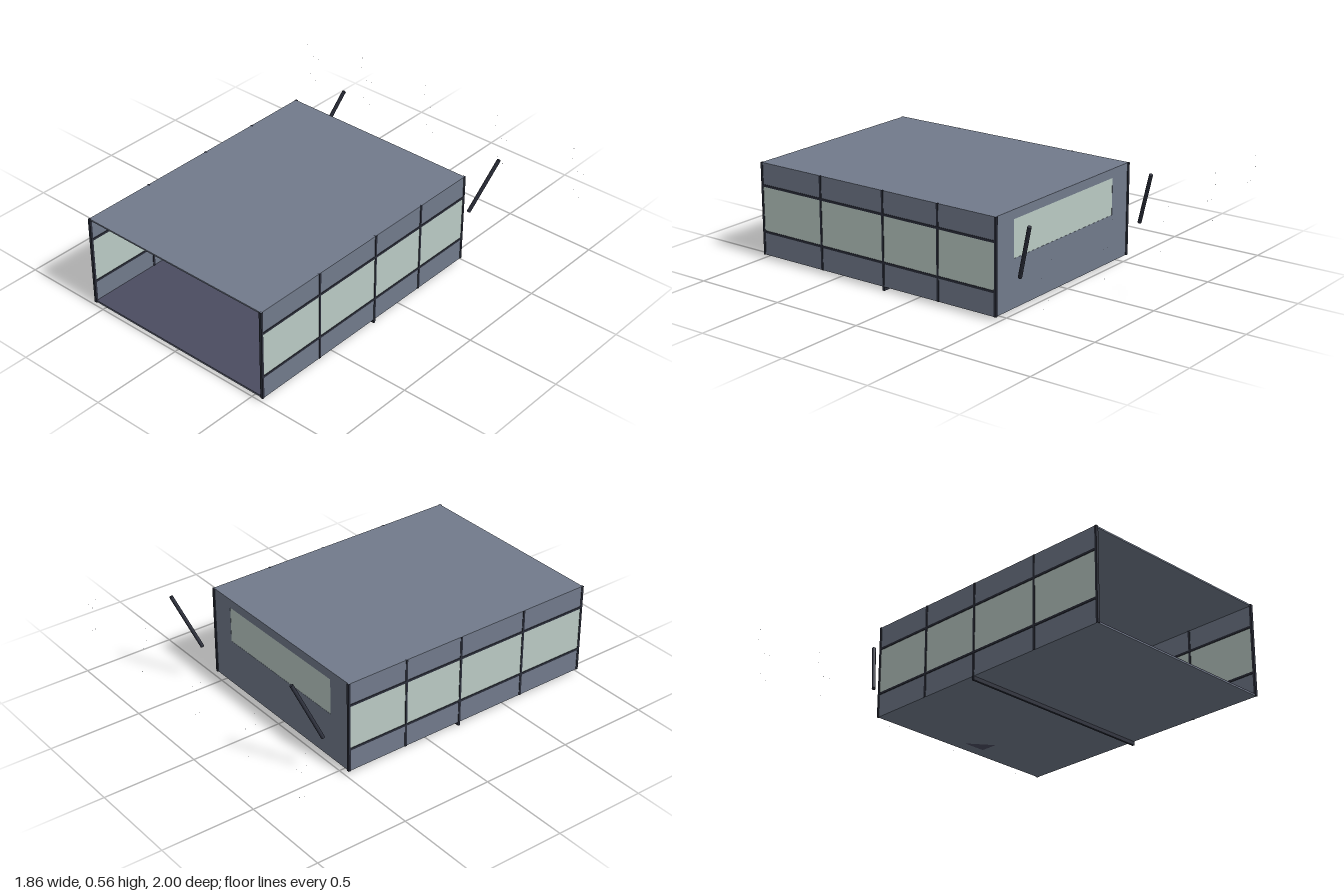
import * as THREE from 'three';

const mat = (name, color, side = THREE.FrontSide) => {
  const m = new THREE.MeshStandardMaterial({ color, side });
  m.name = name;
  return m;
};

export function createModel() {
  const model = new THREE.Group();
  model.name = 'observationRoom';

  const hull = mat('slateHull', 0x717a8b);
  const floorMat = mat('floorPurple', 0x4b4c60);
  const trim = mat('darkTrim', 0x2b2e3a);
  const glass = mat('paleGlass', 0xbacac4);
  const star = mat('starGrey', 0x8a8f9c, THREE.DoubleSide);

  // Box given by its extents on each axis
  const box = (name, m, [x0, x1], [y0, y1], [z0, z1], parent = model) => {
    const mesh = new THREE.Mesh(new THREE.BoxGeometry(x1 - x0, y1 - y0, z1 - z0), m);
    mesh.position.set((x0 + x1) / 2, (y0 + y1) / 2, (z0 + z1) / 2);
    mesh.name = name;
    parent.add(mesh);
    return mesh;
  };

  const L = -0.555, R = 0.565, BACK = -0.483, FRONT = 0.995;
  const FLOOR = 0.02, TOP = 0.513;

  // Roof and floor
  box('roof', hull, [L, R], [TOP - 0.008, TOP], [BACK, FRONT]);
  box('floorSlab', hull, [L, R], [FLOOR, FLOOR + 0.006], [BACK, FRONT]);
  box('floorCovering', floorMat, [L + 0.008, R - 0.008], [FLOOR + 0.006, FLOOR + 0.01], [BACK + 0.01, FRONT]);
  box('floorBeam', trim, [L - 0.002, R + 0.002], [0, FLOOR], [0.193, 0.205]);

  // Side walls: solid bands, window band, rails and posts
  for (const [name, x0, x1] of [['right', L, L + 0.008], ['left', R - 0.008, R]]) {
    const wall = new THREE.Group();
    wall.name = name + 'Wall';
    model.add(wall);
    const x = [x0, x1], wide = [x0 - 0.003, x1 + 0.003];
    box('lowerBand', hull, x, [FLOOR, 0.15], [BACK, FRONT], wall);
    box('upperBand', hull, x, [0.39, TOP - 0.008], [BACK, FRONT], wall);
    box('windowBand', glass, x, [0.15, 0.39], [BACK, FRONT], wall);
    for (const y of [0.145, 0.392]) box('windowRail', trim, wide, [y - 0.006, y + 0.006], [BACK, FRONT], wall);
    for (const z of [0.994, 0.6, 0.199, -0.14, -0.482]) {
      box('windowPost', trim, wide, [FLOOR, TOP], [z - 0.006, z + 0.006], wall);
    }
  }

  // Back wall with a window opening
  const rect = (P, x0, x1, y0, y1) => new P([[x0, y0], [x1, y0], [x1, y1], [x0, y1]].map(p => new THREE.Vector2(...p)));
  const wallShape = rect(THREE.Shape, L + 0.008, R - 0.008, FLOOR, TOP - 0.008);
  wallShape.holes.push(rect(THREE.Path, -0.41, 0.42, 0.27, 0.465));
  const backWall = new THREE.Mesh(new THREE.ExtrudeGeometry(wallShape, { depth: 0.01, bevelEnabled: false }), hull);
  backWall.position.z = BACK;
  backWall.name = 'backWall';
  model.add(backWall);
  box('backWindow', glass, [-0.41, 0.42], [0.27, 0.465], [BACK + 0.001, BACK + 0.007]);
  const frameZ = [BACK + 0.007, BACK + 0.016];
  for (const y of [0.27, 0.465]) box('backWindowFrame', trim, [-0.415, 0.425], [y - 0.005, y + 0.005], frameZ);
  for (const x of [-0.41, 0.42]) box('backWindowFrame', trim, [x - 0.005, x + 0.005], [0.27, 0.465], frameZ);

  // Three rows of lockers with slanted fronts
  const lockers = new THREE.Group();
  lockers.name = 'lockers';
  model.add(lockers);
  for (let row = 0; row < 3; row++) {
    for (let col = 0; col < 6; col++) {
      const x = -0.535 + col * 0.0712, y = 0.08 + row * 0.105;
      box('lockerBody', trim, [x, x + 0.067], [y, y + 0.085], [-0.46, -0.39], lockers);
      const door = box('lockerDoor', col % 2 ? hull : floorMat, [x + 0.012, x + 0.05], [y + 0.012, y + 0.076], [-0.392, -0.38], lockers);
      door.rotation.y = col % 2 ? 0.3 : -0.3;
    }
  }

  // Display panels, each with a grey specimen
  [[0.145, 0.028, 0.023, 0.1], [0.288, 0.031, 0.019, -0.25], [0.428, 0.036, 0.015, -0.75]].forEach(([x, rx, ry, tilt]) => {
    box('displayEdge', trim, [x - 0.061, x + 0.061], [0.163, 0.291], [-0.465, -0.452]);
    box('displayPanel', glass, [x - 0.058, x + 0.058], [0.166, 0.288], [-0.453, -0.446]);
    const rock = new THREE.Mesh(new THREE.SphereGeometry(1, 20, 12), hull);
    rock.scale.set(rx, ry, 0.018);
    rock.rotation.z = tilt;
    rock.position.set(x - 0.003, 0.223, -0.43);
    rock.name = 'specimen';
    model.add(rock);
  });
  box('wallLamp', glass, [0.446, 0.454], [0.31, 0.37], [-0.473, -0.465]);

  // Low bench with end rests
  box('benchSeat', floorMat, [-0.085, 0.1], [FLOOR, 0.075], [-0.42, -0.3]);
  for (const x of [-0.115, 0.1]) box('benchEnd', hull, [x, x + 0.03], [FLOOR, 0.07], [-0.42, -0.29]);

  // Two slanted rods behind the room
  for (const x of [-0.455, 0.565]) {
    const a = new THREE.Vector3(x - 0.043, 0.23, -0.593), b = new THREE.Vector3(x + 0.043, 0.522, -0.707);
    const rod = new THREE.Mesh(new THREE.CylinderGeometry(0.01, 0.01, a.distanceTo(b), 12), trim);
    rod.position.copy(a).lerp(b, 0.5);
    rod.quaternion.setFromUnitVectors(new THREE.Vector3(0, 1, 0), b.clone().sub(a).normalize());
    rod.name = 'slantedRod';
    model.add(rod);
  }

  // Clusters of tiny distant stars
  const offsets = [[-0.04, 0.495], [0, 0.43], [0.037, 0.43], [-0.018, 0.315], [0.02, 0.285], [-0.035, 0.555]];
  for (const cx of [-0.89, -0.5, -0.06, 0.41, 0.89]) {
    for (const [dx, y] of offsets) {
      const s = new THREE.Mesh(new THREE.CircleGeometry(0.002, 6), star);
      s.position.set(cx + dx, y, -1);
      s.name = 'star';
      model.add(s);
    }
  }
  return model;
}
